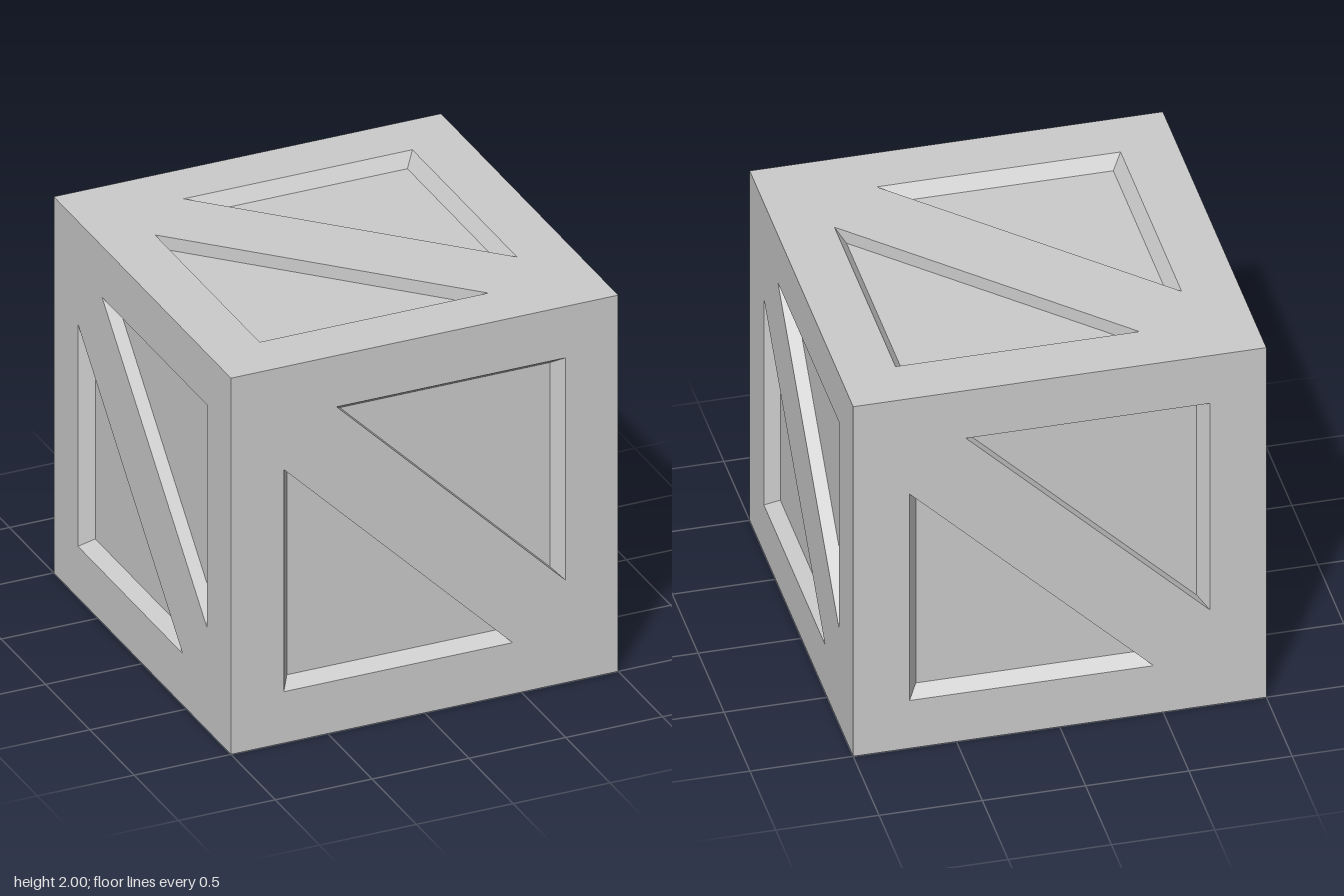
import * as THREE from 'three';

const HALF = 1;       // half the crate's side
const DEPTH = 0.068;  // how far the panels are sunk
const DIAGONAL = 0.273; // offset of the diagonal brace's edges: x + y

const material = new THREE.MeshStandardMaterial({ color: 0xcccccc, flatShading: true });

// Right triangle (counter-clockwise) with its corner at (c, c) and its long side on the brace
function triangle(c) {
  const far = DIAGONAL - c;
  return [[c, c], [far, c], [c, far]].map(([x, y]) => new THREE.Vector2(x, y));
}
const rim = triangle(0.727);
const floor = triangle(0.68);

// Flat outer face with two triangular openings
function frameGeometry() {
  const shape = new THREE.Shape([[-1, -1], [1, -1], [1, 1], [-1, 1]]
    .map(([x, y]) => new THREE.Vector2(x * HALF, y * HALF)));
  for (const s of [1, -1]) {
    shape.holes.push(new THREE.Path(rim.map((p) => p.clone().multiplyScalar(s))));
  }
  return new THREE.ShapeGeometry(shape).translate(0, 0, HALF);
}

// Sunken panel: sloped walls along the frame, upright wall along the brace
function panelGeometry() {
  const top = rim.map((p) => [p.x, p.y, HALF]);
  const low = floor.map((p) => [p.x, p.y, HALF - DEPTH]);
  const corners = [...low];
  for (let i = 0; i < 3; i++) {
    const j = (i + 1) % 3;
    corners.push(top[i], top[j], low[j], top[i], low[j], low[i]);
  }
  const geometry = new THREE.BufferGeometry();
  geometry.setAttribute('position', new THREE.Float32BufferAttribute(corners.flat(), 3));
  geometry.computeVertexNormals();
  return geometry;
}

export function createModel() {
  const crate = new THREE.Group();
  crate.name = 'crate';
  const frame = frameGeometry();
  const panel = panelGeometry();

  const q = Math.PI / 2;
  // Name, tilt about x, turn about y, spin about the face's own normal
  const sides = [
    ['front', 0, 0, 0],
    ['right', 0, q, 0],
    ['back', 0, 2 * q, 0],
    ['left', 0, -q, 0],
    ['top', -q, 0, 0],
    ['bottom', q, 0, q],
  ];
  for (const [name, tilt, turn, spin] of sides) {
    const side = new THREE.Group();
    side.name = `${name}Side`;
    side.rotation.set(tilt, turn, spin);
    side.position.y = HALF;

    const frameMesh = new THREE.Mesh(frame, material);
    frameMesh.name = `${name}Frame`;
    side.add(frameMesh);

    // Two panels, one on each side of the brace
    for (const [which, angle] of [['upper', 0], ['lower', Math.PI]]) {
      const mesh = new THREE.Mesh(panel, material);
      mesh.name = `${name}Panel_${which}`;
      mesh.rotation.z = angle;
      side.add(mesh);
    }
    crate.add(side);
  }
  return crate;
}
